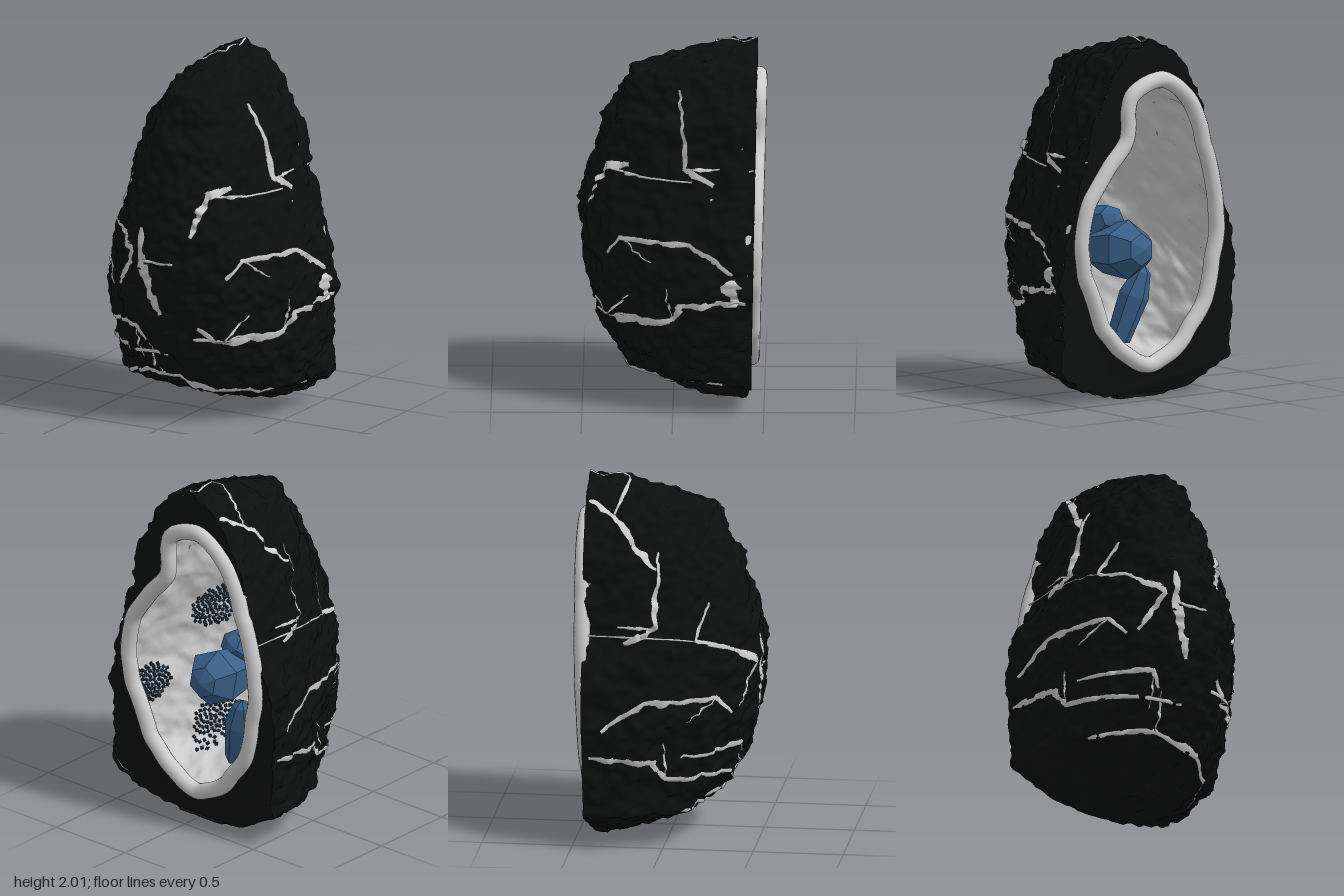
import * as THREE from 'three';

// Rock profile: [y, half width, front depth z]
const PROFILE = [
  [0, 0.2, -0.38], [0.07, 0.42, -0.15], [0.2, 0.57, 0.25], [0.4, 0.585, 0.38], [0.7, 0.595, 0.475],
  [1, 0.54, 0.51], [1.2, 0.46, 0.495], [1.6, 0.375, 0.36], [1.84, 0.24, 0.23], [1.95, 0.12, -0.13], [2, 0, -0.46],
];
// Opening outline on the back: [x, y]
const OPENING = [
  [0, 1.78], [0.13, 1.68], [0.17, 1.42], [0.38, 1.18], [0.46, 0.92], [0.38, 0.56], [0.22, 0.3],
  [-0.03, 0.2], [-0.24, 0.3], [-0.39, 0.5], [-0.47, 0.9], [-0.36, 1.45], [-0.2, 1.69],
];
// Main veins: 'front' gives [x, y]; 'left' / 'right' gives [z, y] on the +x / -x flank
const VEINS = [
  ['front', 0.02, [[-0.31, 1.36], [-0.4, 1.16], [-0.17, 1], [-0.3, 0.77]]],
  ['front', 0.032, [[-0.11, 1.14], [-0.11, 0.95], [-0.02, 0.64]]],
  ['front', 0.026, [[0.18, 1.11], [0.23, 1.33], [0.31, 1.36]]],
  ['front', 0.024, [[0.2, 0.59], [0.3, 0.5], [0.53, 0.51]]],
  ['front', 0.018, [[-0.5, 0.52], [-0.2, 0.55], [-0.15, 0.46]]],
  ['front', 0.022, [[-0.42, 0.2], [-0.1, 0.25], [0.2, 0.2], [0.5, 0.15]]],
  ['left', 0.026, [[-0.04, 1.76], [-0.06, 1.35], [-0.22, 1.27]]],
  ['left', 0.022, [[0.36, 0.87], [0.28, 0.97], [-0.1, 0.95], [-0.33, 0.8]]],
  ['left', 0.022, [[0.4, 0.52], [0.02, 0.52], [-0.05, 0.62], [-0.4, 0.64]]],
  ['right', 0.03, [[-0.44, 1.88], [-0.3, 1.82], [-0.05, 1.55]]],
];
const POWER = 2.4;
const clamp = THREE.MathUtils.clamp;

// Half width, front depth and back edge at a height
function profileAt(y) {
  y = clamp(y, 0, 2);
  let i = 0;
  while (i < PROFILE.length - 2 && y > PROFILE[i + 1][0]) i++;
  const a = PROFILE[i], b = PROFILE[i + 1], t = (y - a[0]) / (b[0] - a[0]);
  const back = -0.428 - 0.018 * y + 0.05 * Math.max(0, 1 - y / 0.15);
  return [a[1] + (b[1] - a[1]) * t, Math.max(back, a[2] + (b[2] - a[2]) * t), back];
}

// Seeded value noise for the craggy skin
function hash(x, y, z) {
  const s = Math.sin(x * 127.1 + y * 311.7 + z * 74.7) * 43758.5453;
  return s - Math.floor(s);
}
function noise(x, y, z) {
  const c = [x, y, z].map(Math.floor);
  const f = [x - c[0], y - c[1], z - c[2]].map((t) => t * t * (3 - 2 * t));
  let sum = 0;
  for (let i = 0; i < 8; i++) {
    const d = [i & 1, (i >> 1) & 1, i >> 2];
    sum += hash(c[0] + d[0], c[1] + d[1], c[2] + d[2]) * d.reduce((w, on, k) => w * (on ? f[k] : 1 - f[k]), 1);
  }
  return sum - 0.5;
}

// Point on the rock: theta 0 = +x back edge, PI/2 = front, PI = -x back edge
function rockPoint(theta, y, rough = 1) {
  const [w, front, back] = profileAt(y);
  const c = Math.cos(theta), s = Math.max(0, Math.sin(theta));
  const p = new THREE.Vector3(
    w * Math.sign(c) * Math.abs(c) ** (2 / POWER), y, back + (front - back) * s ** (2 / POWER));
  const n = 0.05 * noise(p.x * 9, p.y * 9, p.z * 9) + 0.04 * noise(p.x * 24, p.y * 32, p.z * 24);
  const dir = new THREE.Vector3(p.x, (p.y - 1) * 0.5, p.z + 0.42).normalize();
  p.addScaledVector(dir, n * rough);
  p.y = clamp(p.y, 0, 2);
  return p;
}
const heightAt = (v) => 1 - Math.cos(Math.PI * v);

// Point on the cavity wall, just inside the skin
function wallPoint(theta, y, scale) {
  const centre = new THREE.Vector3(0, 0.95, -0.42);
  return rockPoint(theta, y, 0.8).sub(centre).multiplyScalar(scale).add(centre);
}

// Grid surface from a point function
function gridGeometry(cols, rows, pointAt) {
  const pos = [], index = [];
  for (let j = 0; j <= rows; j++)
    for (let i = 0; i <= cols; i++) pos.push(...pointAt(i / cols, j / rows).toArray());
  for (let j = 0; j < rows; j++)
    for (let i = 0; i < cols; i++) {
      const a = j * (cols + 1) + i, b = a + cols + 1;
      index.push(a, b, a + 1, a + 1, b, b + 1);
    }
  const g = new THREE.BufferGeometry();
  g.setAttribute('position', new THREE.Float32BufferAttribute(pos, 3));
  g.setIndex(index);
  g.computeVertexNormals();
  return g;
}

// Ribbon hugging the skin, with tapering ends
function veinGeometry([view, width, pts]) {
  const path = new THREE.CurvePath();
  for (let i = 1; i < pts.length; i++)
    path.add(new THREE.LineCurve(new THREE.Vector2(...pts[i - 1]), new THREE.Vector2(...pts[i])));
  const onRock = (t) => {
    const q = path.getPoint(clamp(t, 0, 1));
    const [w, front, back] = profileAt(q.y);
    if (view === 'front') {
      const r = clamp(q.x / w, -1, 1);
      return rockPoint(Math.acos(Math.sign(r) * Math.abs(r) ** (POWER / 2)), q.y);
    }
    const th = Math.asin(clamp((q.x - back) / (front - back), 0, 1) ** (POWER / 2));
    return rockPoint(view === 'left' ? th : Math.PI - th, q.y);
  };
  return gridGeometry(2, 36, (u, v) => {
    const p = onRock(v);
    const along = onRock(v + 0.04).sub(onRock(v - 0.04)).normalize();
    const out = new THREE.Vector3(p.x, (p.y - 0.95) * 0.4, p.z + 0.42).normalize();
    const side = along.cross(out).normalize();
    const half = width * (0.35 + 0.65 * Math.sin(Math.PI * v)) * (1 + noise(v * 9, width * 99, 1));
    return p.addScaledVector(side, (u - 0.5) * 2 * half).addScaledVector(out, u === 0.5 ? 0.007 : 0.002);
  });
}

// Thin side crack leaving a vein's second point at right angles
function branchOf([view, width, pts], i) {
  const [[x0, y0], [x, y]] = pts;
  const k = (i % 2 ? 0.2 : -0.2) / Math.hypot(x - x0, y - y0);
  return [view, width * 0.45, [[x, y], [x - (y - y0) * k, y + (x - x0) * k]]];
}

export function createModel() {
  const model = new THREE.Group();
  const black = new THREE.MeshStandardMaterial({ color: 0x0d0f0f, side: THREE.DoubleSide });
  const grey = new THREE.MeshStandardMaterial({ color: 0xcccccc, side: THREE.DoubleSide });
  const blue = new THREE.MeshStandardMaterial({ color: 0x3a618a, flatShading: true });
  const navy = new THREE.MeshStandardMaterial({ color: 0x1b3550, flatShading: true });
  const add = (name, geometry, material, parent = model) => {
    const mesh = new THREE.Mesh(geometry, material);
    mesh.name = name;
    parent.add(mesh);
    return mesh;
  };
  const addGroup = (name) => {
    const group = new THREE.Group();
    group.name = name;
    model.add(group);
    return group;
  };

  // Craggy outer skin and the hollow close behind it
  add('rockShell', gridGeometry(170, 190, (u, v) => rockPoint(u * Math.PI, heightAt(v))), black);
  add('cavityWall', gridGeometry(85, 95, (u, v) => wallPoint(u * Math.PI, heightAt(v), 0.975)), grey);

  // Rounded, slightly wavy rim of the opening
  const guide = new THREE.CatmullRomCurve3(OPENING.map(([x, y]) => new THREE.Vector3(x, y, 0)), true);
  const rimPoints = guide.getSpacedPoints(48).slice(0, -1).map((p) => {
    const wave = 1 + 0.07 * noise(p.x * 8, p.y * 8, 5);
    return new THREE.Vector3(p.x * wave, 0.95 + (p.y - 0.95) * wave, -0.427 - 0.027 * (p.y - 0.2));
  });
  const rimCurve = new THREE.CatmullRomCurve3(rimPoints, true);
  add('openingRim', new THREE.TubeGeometry(rimCurve, 160, 0.046, 12, true), grey);

  // Flat broken face around the opening
  const outline = [];
  for (let j = 0; j <= 190; j++) outline.push(rockPoint(0, heightAt(j / 190)));
  for (let j = 190; j >= 0; j--) outline.push(rockPoint(Math.PI, heightAt(j / 190)));
  const shape = new THREE.Shape(outline.map((p) => new THREE.Vector2(p.x, p.y)));
  shape.holes.push(new THREE.Path(rimPoints.map((p) => new THREE.Vector2(p.x, p.y))));
  const face = new THREE.ShapeGeometry(shape);
  const pos = face.attributes.position;
  for (let i = 0; i < pos.count; i++) pos.setZ(i, profileAt(pos.getY(i))[2]);
  face.computeVertexNormals();
  add('brokenFace', face, black);

  // Mineral veins: the flank ones repeat lower on the other flank, and each sprouts a branch
  const veins = addGroup('veins');
  const flank = VEINS.filter(([view]) => view === 'left')
    .map(([, width, pts]) => ['right', width, pts.map(([z, y]) => [z, y - 0.12])]);
  [...VEINS, ...flank].forEach((vein, i) => {
    add('vein', veinGeometry(vein), grey, veins);
    add('veinBranch', veinGeometry(branchOf(vein, i)), grey, veins);
  });
  add('veinPatch', veinGeometry(['left', 0.065, [[-0.32, 0.77], [-0.32, 0.62]]]), grey, veins);

  // Large faceted crystals: position, radius, length, direction
  const crystals = addGroup('crystals');
  const crystalProfile = [[0, -0.5], [0.8, -0.45], [1, 0.12], [0.55, 0.42], [0, 0.5]];
  [
    [[0, 0.8, -0.22], 0.165, 0.36, [-0.1, 0.1, -1]],
    [[-0.02, 0.88, 0.02], 0.13, 0.4, [0.1, 0.5, -0.8]],
    [[-0.1, 0.48, -0.16], 0.085, 0.46, [-0.25, 0.9, -0.2]],
  ].forEach(([at, r, len, dir]) => {
    const points = crystalProfile.map(([x, y]) => new THREE.Vector2(x * r, y * len));
    const crystal = add('crystal', new THREE.LatheGeometry(points, 6), blue, crystals);
    crystal.position.set(...at);
    crystal.quaternion.setFromUnitVectors(new THREE.Vector3(0, 1, 0), new THREE.Vector3(...dir).normalize());
  });

  // Patches of tiny crystals on the cavity wall: angle, height, spread
  const grain = new THREE.OctahedronGeometry(0.014);
  [[0.25, 0.55, 0.12], [0.75, 0.95, 0.13], [0.95, 0.28, 0.14]].forEach(([theta, y, spread]) => {
    for (let i = 0; i < 90; i++) {
      const a = i * 2.4, r = spread * Math.sqrt(i / 90);
      const tiny = add('tinyCrystal', grain, navy, crystals);
      tiny.position.copy(wallPoint(theta + r * Math.cos(a) * 1.6, y + r * Math.sin(a), 0.965));
      tiny.rotation.set(i, i * 1.7, 0);
    }
  });
  return model;
}
